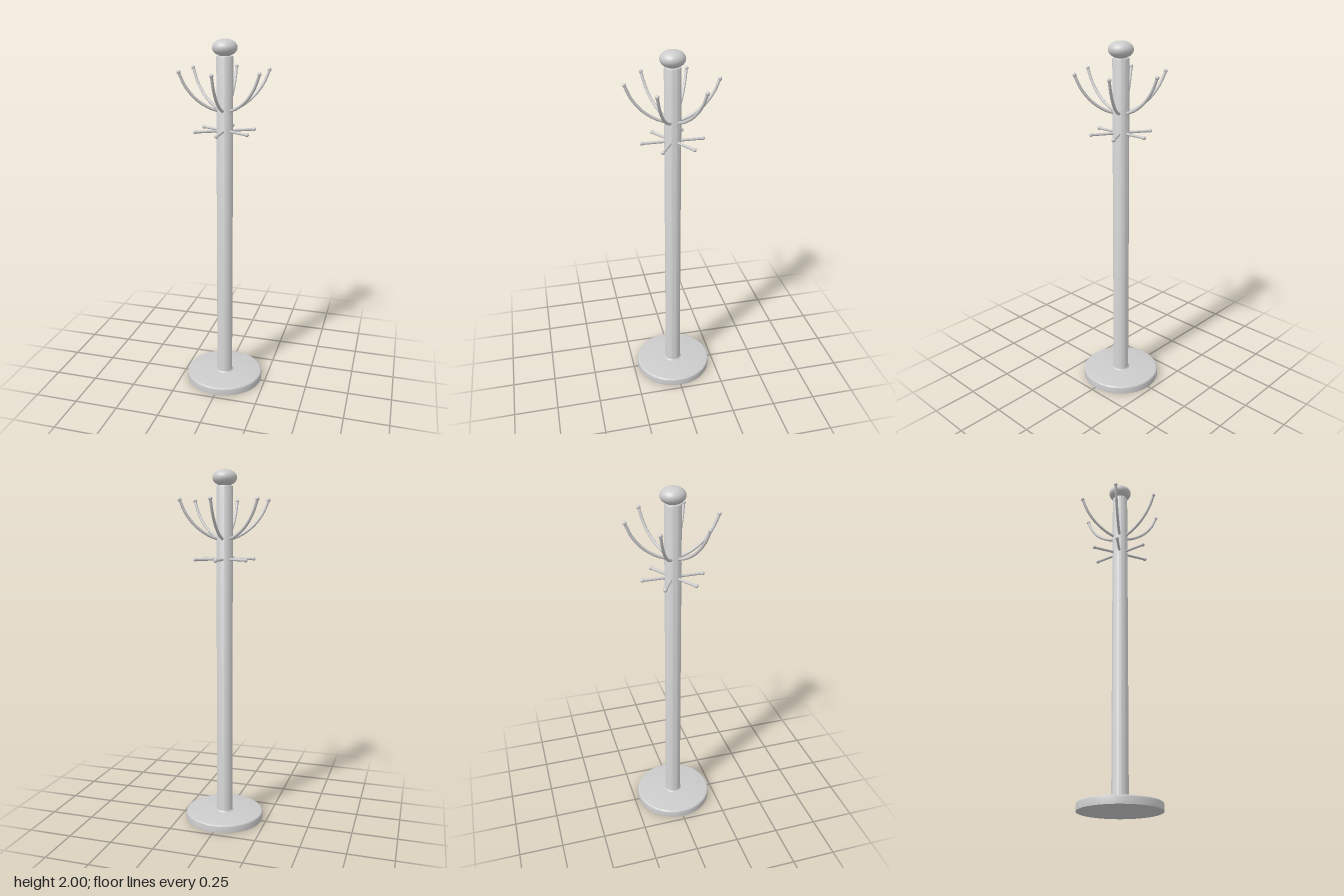
import * as THREE from 'three';
import { toCreasedNormals } from 'three/addons/utils/BufferGeometryUtils.js';

const material = new THREE.MeshStandardMaterial({ color: 0xcccccc });

function add(parent, name, geometry, x = 0, y = 0, z = 0) {
  const mesh = new THREE.Mesh(geometry, material);
  mesh.name = name;
  mesh.position.set(x, y, z);
  parent.add(mesh);
  return mesh;
}

function turned(points) {
  const profile = points.map(([r, y]) => new THREE.Vector2(r, y));
  return toCreasedNormals(new THREE.LatheGeometry(profile, 64), 0.7);
}

export function createModel() {
  const model = new THREE.Group();
  model.name = 'coatStand';

  // Round foot with a softened upper rim
  add(model, 'base', turned([
    [0, 0], [0.224, 0], [0.224, 0.036], [0.2225, 0.041], [0.219, 0.044], [0.214, 0.045], [0, 0.045],
  ]));

  // Straight pole, flared slightly where it meets the foot
  add(model, 'pole', turned([
    [0.055, 0.044], [0.05, 0.046], [0.047, 0.049], [0.045, 0.055], [0.045, 1.908], [0.042, 1.913], [0, 1.913],
  ]));

  // Flattened knob on top
  const knob = add(model, 'topKnob', new THREE.SphereGeometry(0.067, 48, 32), 0, 1.955, 0);
  knob.scale.y = 0.045 / 0.067;

  // Upswept hooks and short pegs, each with a ball tip, in six directions
  const hookPath = new THREE.CatmullRomCurve3([
    [0.03, 1.625], [0.09, 1.648], [0.16, 1.697], [0.215, 1.765], [0.248, 1.836],
  ].map(([r, y]) => new THREE.Vector3(0, y, r)));
  const hookGeometry = new THREE.TubeGeometry(hookPath, 32, 0.008, 12);
  const pegGeometry = new THREE.CylinderGeometry(0.0075, 0.0075, 0.135, 12).rotateX(Math.PI / 2);
  const tipGeometry = new THREE.SphereGeometry(0.0108, 20, 14);

  for (let i = 0; i < 6; i++) {
    const arm = new THREE.Group();
    arm.name = 'hookAndPeg';
    arm.rotation.y = (i * Math.PI) / 3;
    add(arm, 'hook', hookGeometry);
    add(arm, 'hookTip', tipGeometry, 0, 1.837, 0.248);
    add(arm, 'peg', pegGeometry, 0, 1.518, 0.0975);
    add(arm, 'pegTip', tipGeometry, 0, 1.518, 0.165);
    model.add(arm);
  }
  return model;
}
